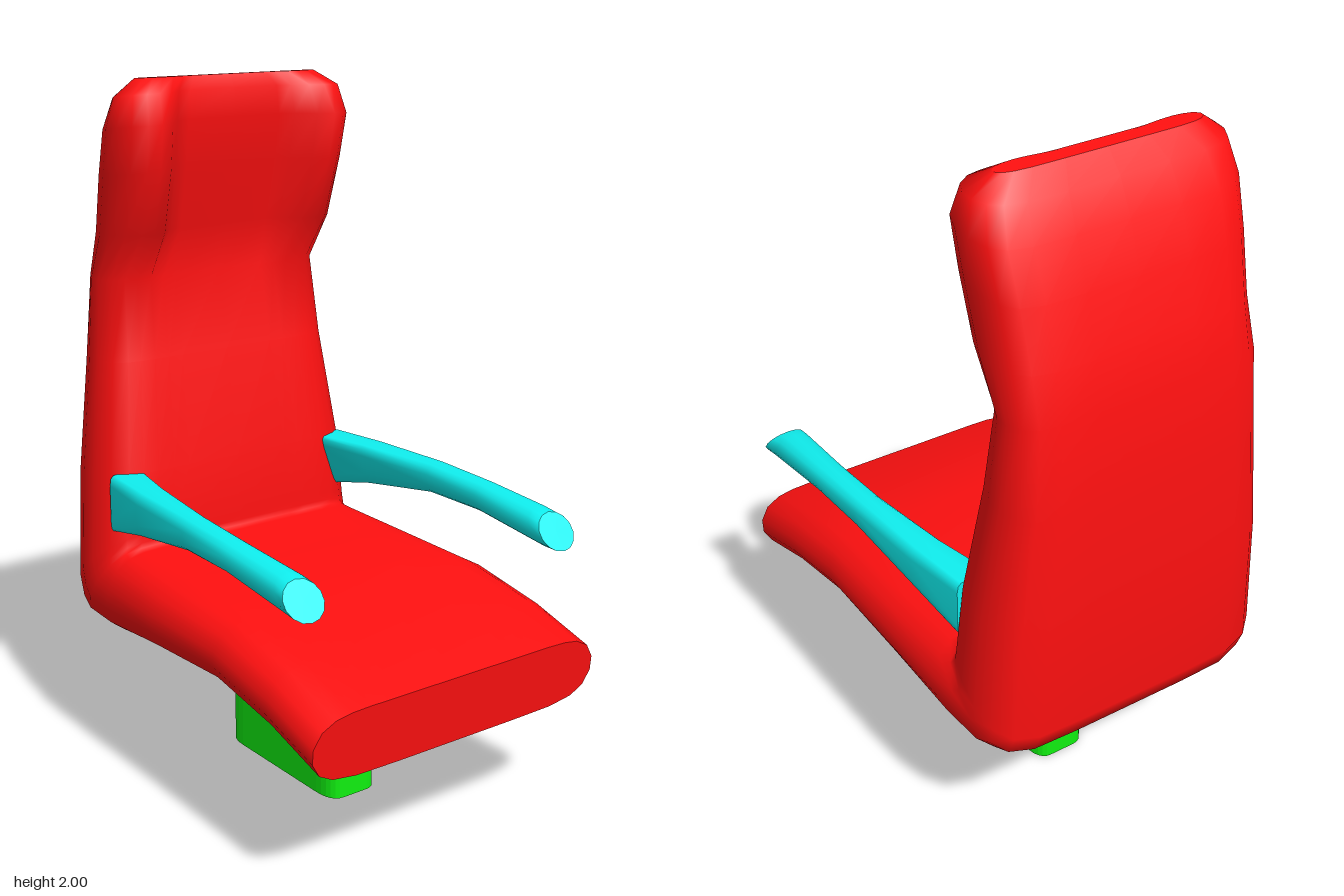
import * as THREE from 'three';

const V = (x, y, z) => new THREE.Vector3(x, y, z);

// Skin a row of closed rings, with flat end caps; faces always point outward.
function loft(rings) {
  const n = rings[0].length;
  const pts = rings.flat();
  const idx = [];
  for (let r = 0; r < rings.length - 1; r++) {
    for (let i = 0; i < n; i++) {
      const j = (i + 1) % n;
      const a = r * n + i, b = r * n + j, c = a + n, d = b + n;
      idx.push(a, b, d, a, d, c);
    }
  }
  [rings[0], rings[rings.length - 1]].forEach((ring, end) => {
    const base = pts.length;
    const mid = V(0, 0, 0);
    ring.forEach((p) => { pts.push(p.clone()); mid.addScaledVector(p, 1 / n); });
    pts.push(mid);
    for (let i = 0; i < n; i++) {
      const a = base + i, b = base + (i + 1) % n;
      if (end) idx.push(a, b, base + n);
      else idx.push(b, a, base + n);
    }
  });
  // flip everything when the enclosed volume comes out negative
  let volume = 0;
  const cross = V(0, 0, 0);
  for (let i = 0; i < idx.length; i += 3) {
    volume += pts[idx[i]].dot(cross.crossVectors(pts[idx[i + 1]], pts[idx[i + 2]]));
  }
  if (volume < 0) idx.reverse();
  const g = new THREE.BufferGeometry().setFromPoints(pts);
  g.setIndex(idx);
  g.computeVertexNormals();
  return g;
}

function part(name, geometry, color) {
  const m = new THREE.Mesh(geometry, new THREE.MeshStandardMaterial({ color }));
  m.name = name;
  return m;
}

// Padded seat and backrest, one continuous cushion from the knee edge to the head.
function cushionGeometry() {
  // half width, inner z, inner y, outer z, outer y, headrest wing depth
  const stations = [
    [0.48, 0.658, 0.53, 0.64, 0.34, 0],
    [0.478, 0.46, 0.59, 0.43, 0.40, 0],
    [0.475, 0.22, 0.635, 0.18, 0.44, 0],
    [0.472, -0.10, 0.645, -0.13, 0.42, 0],
    [0.466, -0.34, 0.655, -0.40, 0.39, 0],
    [0.46, -0.362, 0.66, -0.56, 0.392, 0],
    [0.452, -0.364, 0.675, -0.62, 0.415, 0],
    [0.45, -0.364, 0.70, -0.648, 0.48, 0],
    [0.43, -0.372, 0.88, -0.656, 0.85, 0],
    [0.388, -0.42, 1.20, -0.656, 1.18, 0],
    [0.37, -0.458, 1.43, -0.636, 1.43, 0.005],
    [0.37, -0.43, 1.57, -0.608, 1.56, 0.08],
    [0.378, -0.388, 1.75, -0.57, 1.72, 0.09],
    [0.384, -0.365, 1.88, -0.525, 1.85, 0.088],
    [0.365, -0.365, 1.96, -0.48, 1.94, 0.055],
    [0.30, -0.385, 1.998, -0.43, 1.995, 0.01],
  ];
  // half section: u across the width, v from outer (0) to inner (1) face
  const half = [
    [0, 1], [0.4, 1], [0.52, 1], [0.64, 1], [0.76, 0.99], [0.86, 0.95], [0.95, 0.83], [1, 0.62],
    [1, 0.4], [0.95, 0.19], [0.86, 0.07], [0.7, 0.01], [0.4, 0], [0, 0],
  ];
  const section = [...half, ...half.slice(1, -1).reverse().map(([u, v]) => [-u, v])];
  return loft(stations.map(([w, zi, yi, zo, yo, wing]) => section.map(([u, v]) => {
    const bump = THREE.MathUtils.smoothstep(Math.abs(u), 0.44, 0.74) * v;
    return V(u * w, yo + (yi - yo) * v, zo + (zi - zo) * v + wing * bump);
  })));
}

// Armrest: wedge-shaped where it joins the back, round at the hand end.
function armGeometry(side) {
  // z, inner x, outer x, bottom y, top y, bottom pinch, roundness, end slant
  const stations = [
    [-0.41, 0.305, 0.42, 0.71, 0.882, 0.95, 0.3, 0],
    [-0.22, 0.342, 0.447, 0.752, 0.884, 0.5, 0.5, 0],
    [0.05, 0.378, 0.467, 0.79, 0.882, 0.1, 0.75, 0],
    [0.26, 0.383, 0.475, 0.788, 0.872, 0, 0.85, 0],
    [0.50, 0.374, 0.482, 0.757, 0.857, 0, 0.9, 0.03],
    [0.545, 0.37, 0.49, 0.755, 0.85, 0, 1, 0.035],
  ];
  const n = 14;
  const soft = (t, e) => Math.sign(t) * Math.abs(t) ** e;
  return loft(stations.map(([z, xi, xo, yb, yt, pinch, round, slant]) => {
    const ring = [];
    for (let i = 0; i < n; i++) {
      const a = ((i + 0.5) / n) * Math.PI * 2;
      const p = soft(Math.cos(a), round), q = soft(Math.sin(a), round);
      const left = xi + (xo - xi) * 0.6 * pinch * (1 - q) / 2;
      const x = left + (xo - left) * (p + 1) / 2;
      ring.push(V(side * x, (yb + yt) / 2 + q * (yt - yb) / 2, z - q * slant));
    }
    return ring;
  }));
}

// Pedestal: an upright slab with rounded corners.
function pedestalGeometry() {
  const x = 0.086, z = 0.26, rx = 0.045, rz = 0.075;
  const s = new THREE.Shape();
  s.moveTo(x, -z + rz);
  s.lineTo(x, z - rz);
  s.quadraticCurveTo(x, z, x - rx, z);
  s.lineTo(-x + rx, z);
  s.quadraticCurveTo(-x, z, -x, z - rz);
  s.lineTo(-x, -z + rz);
  s.quadraticCurveTo(-x, -z, -x + rx, -z);
  s.lineTo(x - rx, -z);
  s.quadraticCurveTo(x, -z, x, -z + rz);
  const g = new THREE.ExtrudeGeometry(s, { depth: 0.5, bevelEnabled: false, curveSegments: 6 });
  g.rotateX(-Math.PI / 2);
  g.translate(0, 0, -0.05);
  return g;
}

export function createModel() {
  const model = new THREE.Group();
  model.name = 'reclinerSeat';
  model.add(part('seatAndBackrest', cushionGeometry(), 0xff1010));
  model.add(part('leftArmrest', armGeometry(1), 0x10f0f0));
  model.add(part('rightArmrest', armGeometry(-1), 0x10f0f0));
  model.add(part('pedestal', pedestalGeometry(), 0x10f010));
  return model;
}
